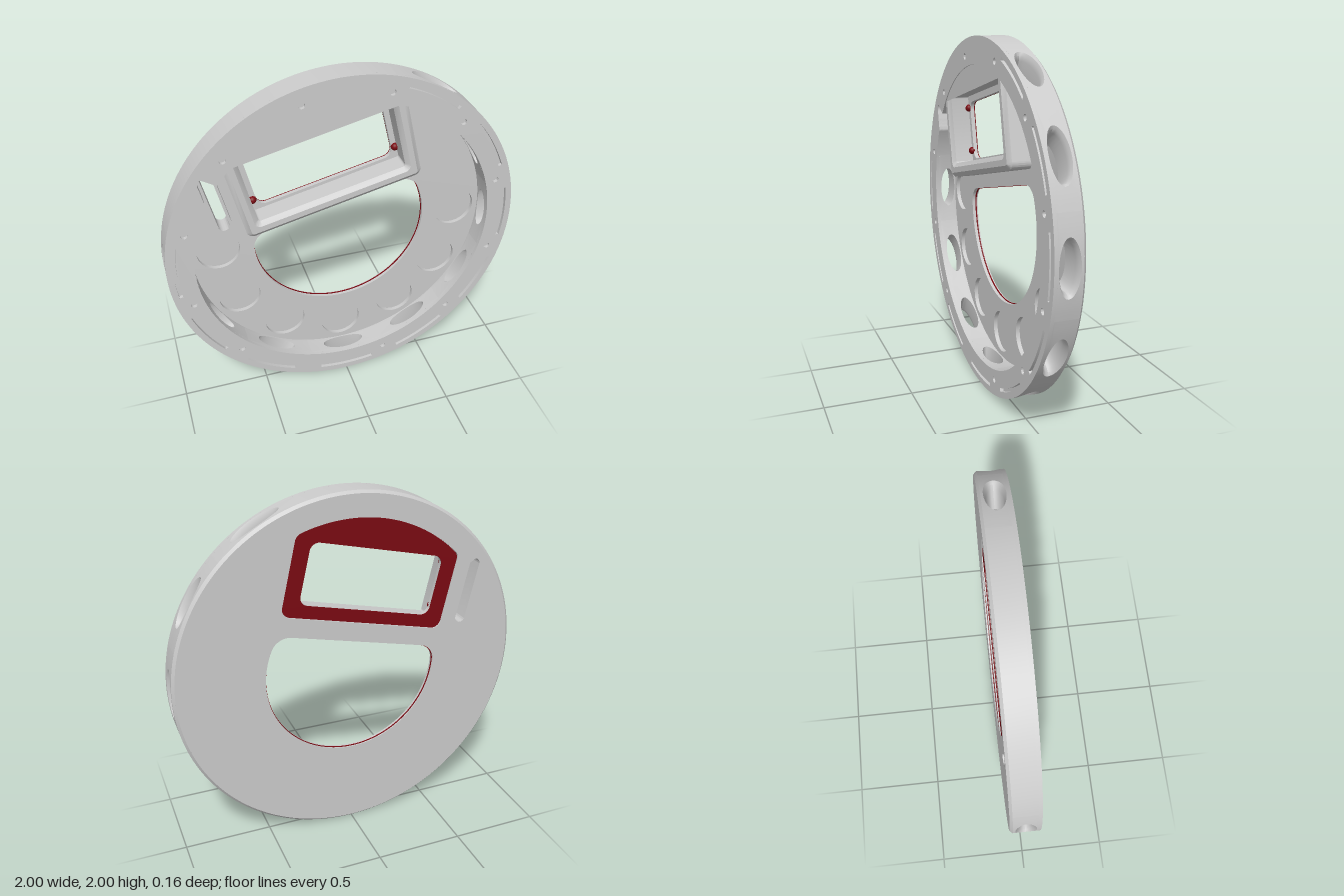
import * as THREE from 'three';
import { toCreasedNormals } from 'three/addons/utils/BufferGeometryUtils.js';

const TILT = 0.227; // the window, opening and strap slot are turned by this angle
const ang = (deg) => THREE.MathUtils.degToRad(deg) - TILT;
const grey = new THREE.MeshStandardMaterial({ color: 0xcccccc });
const red = new THREE.MeshStandardMaterial({ color: 0x7a0a12 });
const HOLE_ANGLES = [0, 30, 60, 180, 210, 240, 270, 300, 330];
const STRAP = { x: -0.598, y0: 0.355, y1: 0.675 };

function circle(x, y, r) {
  return new THREE.Shape().absarc(x, y, r, 0, Math.PI * 2, false);
}

function capsule(r) {
  const s = new THREE.Shape();
  s.absarc(STRAP.x, STRAP.y1, r, 0, Math.PI, false);
  s.absarc(STRAP.x, STRAP.y0, r, Math.PI, Math.PI * 2, false);
  s.closePath();
  return s;
}

function roundRect(cx, cy, hw, hh, c) {
  const s = new THREE.Shape();
  s.absarc(cx + hw - c, cy + hh - c, c, 0, Math.PI / 2, false);
  s.absarc(cx - hw + c, cy + hh - c, c, Math.PI / 2, Math.PI, false);
  s.absarc(cx - hw + c, cy - hh + c, c, Math.PI, Math.PI * 1.5, false);
  s.absarc(cx + hw - c, cy - hh + c, c, Math.PI * 1.5, Math.PI * 2, false);
  s.closePath();
  return s;
}

// straight sides and bottom, top following a circle around the ring centre
function archShape(hw, bottom, R, c) {
  const s = new THREE.Shape(), x = hw - c, y = Math.sqrt((R - c) ** 2 - x * x), a = Math.atan2(y, x);
  s.absarc(x, bottom + c, c, -Math.PI / 2, 0, false);
  s.absarc(x, y, c, 0, a, false);
  s.absarc(0, 0, R, a, Math.PI - a, false);
  s.absarc(-x, y, c, Math.PI - a, Math.PI, false);
  s.absarc(-x, bottom + c, c, Math.PI, Math.PI * 1.5, false);
  s.closePath();
  return s;
}

// large circle cut by a chord, with rounded corners
function openingShape(inset = 0) {
  const s = new THREE.Shape(), R = 0.5 - inset, c = 0.1, y = 0.168 - inset - c;
  const x = Math.sqrt((R - c) ** 2 - y * y), a = Math.atan2(y, x);
  s.absarc(0, 0, R, Math.PI - a, Math.PI * 2 + a, false);
  s.absarc(x, y, c, a, Math.PI / 2, false);
  s.absarc(-x, y, c, Math.PI / 2, Math.PI - a, false);
  s.closePath();
  return s;
}

// inner radius of the rim, pushed outwards where the strap recess cuts it
function rimInner(a) {
  let r = 0.85;
  for (; r < 0.985; r += 0.002) {
    const x = r * Math.cos(a), y = r * Math.sin(a);
    const cy = THREE.MathUtils.clamp(y, STRAP.y0, STRAP.y1);
    if (Math.hypot(x - STRAP.x, y - cy) > 0.045) break;
  }
  return r;
}

function arcPoints(from, to, step, radius) {
  const pts = [], n = Math.round((to - from) / step);
  for (let i = 0; i <= n; i++) {
    const a = ang(from + ((to - from) * i) / n), r = radius(a);
    pts.push(new THREE.Vector2(r * Math.cos(a), r * Math.sin(a)));
  }
  return pts;
}

function sector(from, to, rOut, rIn) {
  return new THREE.Shape([...arcPoints(from, to, 2, () => rOut), ...arcPoints(from, to, 0.5, rIn).reverse()]);
}

function extrude(shape, z0, z1, options = {}) {
  const b = options.bevelThickness ?? 0;
  const g = new THREE.ExtrudeGeometry(shape, {
    depth: z1 - z0 - 2 * b, bevelEnabled: false, curveSegments: 32, ...options,
  });
  return toCreasedNormals(g.translate(0, 0, z0 + b), 0.5);
}

// 30 degree piece of the rim wall with a flared oval hole running through it
function holedWall(deg) {
  const square = [], add = (n, f) => { for (let i = 0; i < n; i++) square.push(f((2 * i) / n - 1)); };
  add(15, (t) => [t, -1]);
  add(8, (t) => [1, t]);
  add(15, (t) => [-t, 1]);
  add(8, (t) => [-1, -t]);
  const rect = (r, z0, z1) => square.map(([u, v]) => [u * Math.PI / 12, z0 + (z1 - z0) * (v + 1) / 2, r]);
  const oval = (r, a, b) => square.map(([u, v]) => {
    const t = Math.atan2(v, u);
    return [Math.asin((a * Math.cos(t)) / r), b * Math.sin(t), r];
  });
  const mix = (p, q, k) => p.map((e, i) => e.map((c, j) => c + (q[i][j] - c) * k));
  const ro = rect(1, -0.07, 0.06), oo = oval(1, 0.148, 0.057);
  const ri = rect(0.85, -0.052, 0.06), oi = oval(0.85, 0.125, 0.045);
  const rings = [ro, mix(ro, oo, 0.35), mix(ro, oo, 0.7), oo, oval(0.985, 0.134, 0.05),
    oval(0.96, 0.125, 0.045), oi, mix(oi, ri, 0.5), ri];
  const pos = [], idx = [], n = square.length;
  rings.forEach((ring, i) => ring.forEach(([s, z, r], j) => {
    const a = ang(deg) + s;
    pos.push(r * Math.cos(a), r * Math.sin(a), z);
    if (i === rings.length - 1) return;
    const p = i * n + j, q = i * n + ((j + 1) % n);
    idx.push(p, q, q + n, p, q + n, p + n);
  }));
  const g = new THREE.BufferGeometry();
  g.setAttribute('position', new THREE.Float32BufferAttribute(pos, 3));
  g.setIndex(idx);
  return toCreasedNormals(g, 0.6);
}

export function createModel() {
  const model = new THREE.Group(), body = new THREE.Group();
  model.name = 'ringHousing';
  body.name = 'housing';
  body.position.set(0, 1, 0.0025);
  body.rotation.z = TILT;
  model.add(body);
  const add = (name, geometry, material = grey) => {
    const mesh = new THREE.Mesh(geometry, material);
    mesh.name = name;
    body.add(mesh);
    return mesh;
  };
  const window = () => roundRect(0, 0.52, 0.39, 0.172, 0.05);
  const disc = (r, holes) => {
    const s = new THREE.Shape(arcPoints(0, 358, 2, () => r));
    s.holes.push(...holes);
    return s;
  };

  // back plate: outer skin with the panel recess, then the floor with round pockets
  add('backSkin', extrude(disc(0.985, [archShape(0.48, 0.275, 0.86, 0.05), openingShape(), capsule(0.03)]), -0.085, -0.075));
  const pockets = [0, 180, 210, 240, 270, 300, 330].map((d) => circle(0.7 * Math.cos(ang(d)), 0.7 * Math.sin(ang(d)), 0.12));
  add('floorPlate', extrude(disc(0.98, [window(), openingShape(), capsule(0.03), ...pockets]), -0.075, -0.052));
  add('backChamfer', new THREE.CylinderGeometry(1, 0.985, 0.015, 180, 1, true).rotateX(Math.PI / 2).translate(0, 0, -0.0775));

  // red back panel, and a red line inside the opening
  const panel = archShape(0.478, 0.277, 0.858, 0.05);
  panel.holes.push(window());
  add('backPanel', extrude(panel, -0.08, -0.0745), red);
  const band = openingShape();
  band.holes.push(openingShape(0.003));
  add('openingBand', extrude(band, -0.077, -0.07), red);

  // rim wall
  HOLE_ANGLES.forEach((d) => add('rimWall', holedWall(d)));
  add('rimWallSolid', extrude(sector(75, 165, 1, rimInner), -0.07, 0.06));

  // front ring with curved slots and pin holes
  const ring = () => {
    const s = new THREE.Shape(arcPoints(0, 358, 2, () => 1));
    s.holes.push(new THREE.Path(arcPoints(0, 359.5, 0.5, rimInner)));
    return s;
  };
  const face = ring();
  HOLE_ANGLES.forEach((d) => face.holes.push(sector(d - 10, d + 10, 0.965, () => 0.945)));
  for (let d = 15; d < 360; d += 30) {
    if (d !== 255) face.holes.push(circle(0.91 * Math.cos(ang(d)), 0.91 * Math.sin(ang(d)), 0.018));
  }
  add('frontRing', extrude(face, 0.06, 0.08));
  add('slotFloor', new THREE.ShapeGeometry(ring()).translate(0, 0, 0.06));

  // window frame, joined to the rim along its top
  const frame = archShape(0.5, 0.248, 0.88, 0.04);
  frame.holes.push(roundRect(0, 0.53, 0.42, 0.2, 0.01));
  add('windowFrame', extrude(frame, -0.074, 0.075, {
    bevelEnabled: true, bevelThickness: 0.02, bevelSize: 0.025, bevelOffset: -0.025, bevelSegments: 1,
  }));
  for (const sx of [-1, 1]) for (const sy of [-1, 1]) {
    const tab = add('panelStud', new THREE.SphereGeometry(0.022, 16, 12), red);
    tab.position.set(sx * 0.41, 0.53 + sy * 0.13, -0.05);
  }

  // strap slot
  const boss = capsule(0.045);
  boss.holes.push(capsule(0.03));
  add('strapSlot', extrude(boss, -0.06, 0.02));
  return model;
}
